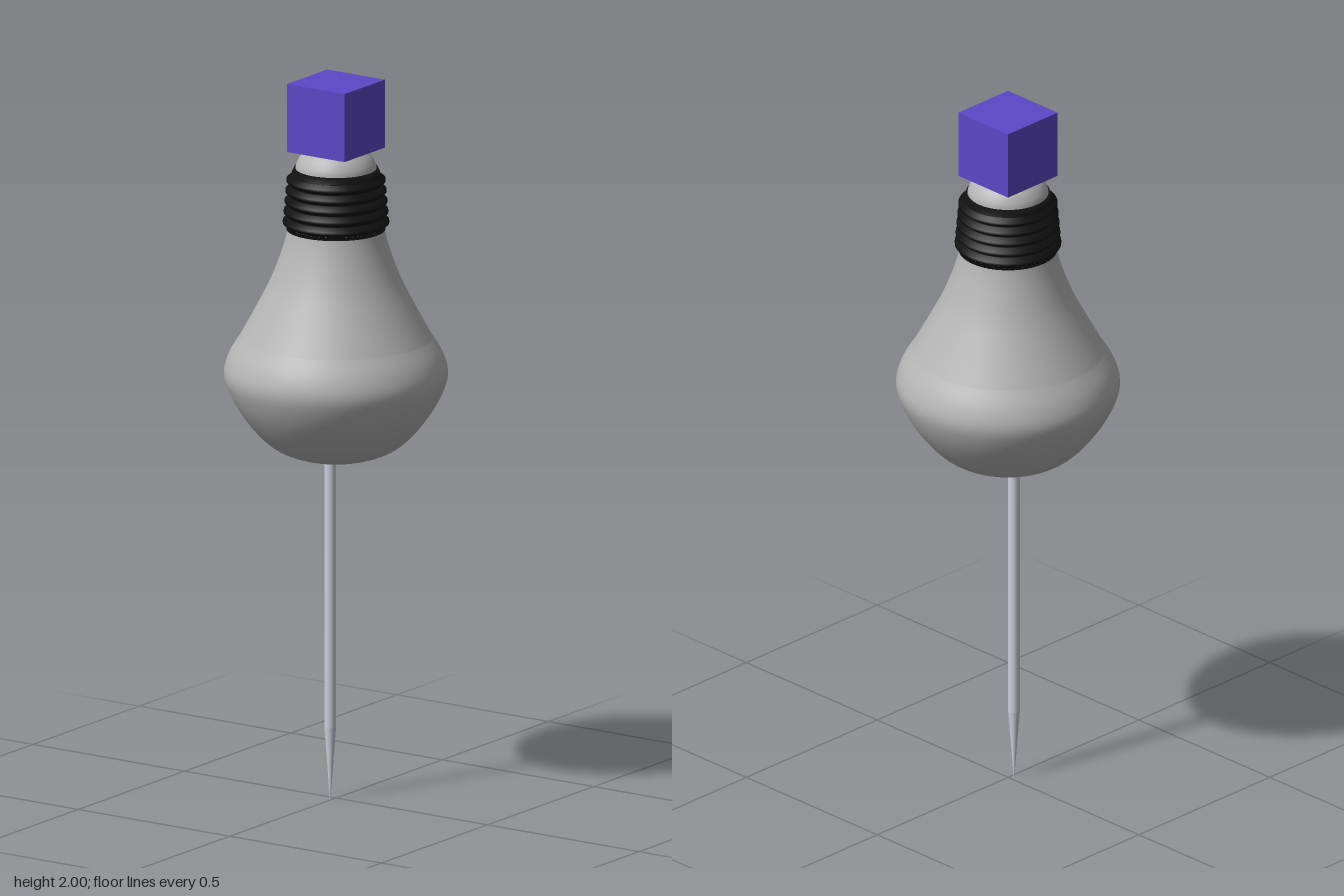
import * as THREE from 'three';

const SEGMENTS = 64;

function material(color) {
  return new THREE.MeshStandardMaterial({ color, side: THREE.DoubleSide });
}

// Smooth surface of revolution through [radius, height] points, bottom to top
function smoothLathe(name, points, color) {
  const curve = new THREE.SplineCurve(points.map(([r, y]) => new THREE.Vector2(r, y)));
  const profile = curve.getPoints(points.length * 5);
  profile.forEach((p) => { p.x = Math.max(p.x, 0); });
  const mesh = new THREE.Mesh(new THREE.LatheGeometry(profile, SEGMENTS), material(color));
  mesh.name = name;
  return mesh;
}

export function createModel() {
  const model = new THREE.Group();
  model.name = 'bulbHandledAwl';

  // Rounded lower half of the handle, up to the crease
  model.add(smoothLathe('handleBulb', [
    [0, 0.945], [0.07, 0.95], [0.15, 0.975], [0.205, 1.015], [0.257, 1.08],
    [0.29, 1.14], [0.303, 1.19], [0.29, 1.24], [0.26, 1.29],
  ], 0xb4b4b4));

  // Tapering neck above the crease
  model.add(smoothLathe('handleNeck', [
    [0.26, 1.29], [0.22, 1.364], [0.179, 1.445], [0.15, 1.52], [0.133, 1.58], [0.128, 1.62],
  ], 0xb4b4b4));

  // Black threaded collar: a stack of sharp ridges, narrowing to the top
  const thread = [[0, 1.59], [0.134, 1.59]];
  const ridges = 5;
  for (let i = 0; i < ridges; i++) {
    const y = 1.598 + i * 0.029;
    const r = 0.144 - i * 0.0025;
    thread.push([r - 0.014, y], [r, y + 0.01], [r, y + 0.017], [r - 0.014, y + 0.027]);
  }
  thread.push([0.122, 1.742], [0.114, 1.76], [0, 1.76]);
  const threadShape = thread.map(([r, y]) => new THREE.Vector2(r, y));
  const collar = new THREE.Mesh(new THREE.LatheGeometry(threadShape, SEGMENTS), material(0x111111));
  collar.name = 'threadedCollar';
  model.add(collar);

  // Small domed cap under the cube
  model.add(smoothLathe('domedCap', [
    [0.11, 1.758], [0.106, 1.775], [0.092, 1.797], [0.07, 1.811], [0, 1.814],
  ], 0xb4b4b4));

  // Cube on top
  const cube = new THREE.Mesh(new THREE.BoxGeometry(0.19, 0.19, 0.19), material(0x5d48c8));
  cube.name = 'topCube';
  cube.position.set(-0.001, 1.905, -0.001);
  model.add(cube);

  // Thin needle, set slightly off the handle's axis
  const needle = new THREE.Group();
  needle.name = 'needle';
  needle.position.set(-0.01, 0, 0.013);
  const steel = material(0xccd0dc);
  const shaft = new THREE.Mesh(new THREE.CylinderGeometry(0.016, 0.016, 0.79, 24), steel);
  shaft.name = 'needleShaft';
  shaft.position.y = 0.595;
  const tip = new THREE.Mesh(new THREE.CylinderGeometry(0.016, 0.001, 0.2, 24), steel);
  tip.name = 'needleTip';
  tip.position.y = 0.1;
  needle.add(shaft, tip);
  model.add(needle);

  return model;
}
